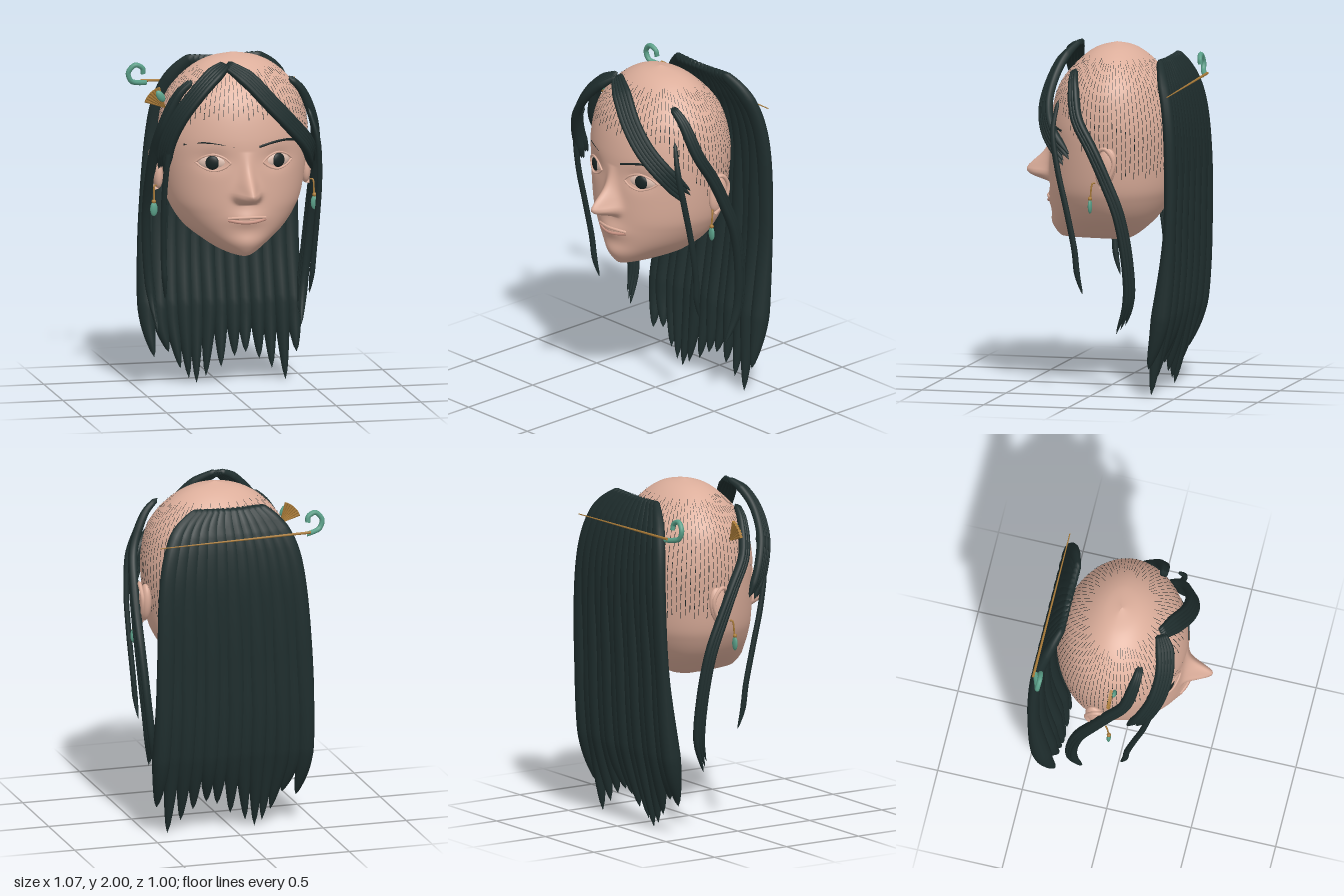
import * as THREE from 'three';
import { ParametricGeometry } from 'three/addons/geometries/ParametricGeometry.js';

const V = (x, y, z) => new THREE.Vector3(x, y, z);
const curve = (pts) => new THREE.CatmullRomCurve3(pts.map((p) => V(...p)), false, 'catmullrom', 0.5);
const CX = 0.01, CZ = -0.04;

function material(name, color, side = THREE.FrontSide) {
  const m = new THREE.MeshStandardMaterial({ color, side });
  m.name = name;
  return m;
}

// Head sections: height, half width, front z, back z
const LEVELS = [
  [0.855, 0.002, 0.25, -0.05], [0.865, 0.1, 0.3, -0.12], [0.92, 0.19, 0.335, -0.2],
  [1.0, 0.288, 0.345, -0.28], [1.1, 0.358, 0.352, -0.34], [1.2, 0.396, 0.355, -0.375],
  [1.4, 0.427, 0.35, -0.4], [1.55, 0.435, 0.345, -0.4], [1.7, 0.412, 0.315, -0.365],
  [1.8, 0.363, 0.265, -0.32], [1.9, 0.267, 0.175, -0.23], [1.965, 0.152, 0.085, -0.14], [1.998, 0.0005, -0.03, -0.031],
];
const frontCurve = curve(LEVELS.map(([y, w, f]) => [w, y, f]));
const backCurve = curve(LEVELS.map(([y, w, , b]) => [w, y, b]));
const bump = (x, s) => Math.exp(-(x * x) / (s * s));

// Nose, lips, chin and eye sockets pushed out of the face
function relief(x, y) {
  const d = y - 1.24;
  const k = d > 0 ? 0.58 * bump(d, 0.085) + 0.42 * Math.max(0, 1 - d / 0.24) : Math.max(0, 1 - (d / 0.07) ** 2);
  const nose = 0.153 * k * bump(x, 0.034 + 0.018 * k);
  const wings = 0.03 * bump(Math.abs(x) - 0.05, 0.03) * bump(y - 1.22, 0.03);
  const lips = 0.022 * bump(x, 0.1) * bump(y - 1.085, 0.05);
  const chin = 0.012 * bump(x, 0.1) * bump(y - 0.95, 0.05);
  const socket = -0.018 * bump(Math.abs(x) - 0.19, 0.09) * bump(y - 1.43, 0.06);
  return nose + wings + lips + chin + socket;
}

function headPoint(u, t, target = V(0, 0, 0)) {
  const f = frontCurve.getPoint(u), b = backCurve.getPoint(u);
  const mid = THREE.MathUtils.clamp(CZ, b.z, f.z), c = Math.cos(t), x = f.x * Math.sin(t);
  const z = mid + c * (c > 0 ? f.z - mid : mid - b.z) + (c > 0 ? relief(x, f.y) : 0);
  return target.set(CX + x, f.y, z);
}

function levelAt(y) {
  let lo = 0, hi = 1;
  for (let i = 0; i < 30; i++) {
    const m = (lo + hi) / 2;
    if (frontCurve.getPoint(m).y < y) lo = m; else hi = m;
  }
  return lo;
}

function facePoint(x, y, lift = 0) {
  const u = levelAt(y);
  const p = headPoint(u, Math.asin(THREE.MathUtils.clamp((x - CX) / frontCurve.getPoint(u).x, -1, 1)));
  p.z += lift;
  return p;
}

// One flattened strand; side shifts it across the lock, taper is the pointed share, flare thickens the lower part
function strandGeometry(path, hw, th, { normal = null, side = 0, length = 1, rows = 40, taper = 0.18, flare = 0 } = {}) {
  const T = V(0, 0, 0), N = V(0, 0, 0), B = V(0, 0, 0), p = V(0, 0, 0);
  return new ParametricGeometry((u, v, target) => {
    const s = v * length;
    path.getPoint(s, p);
    path.getTangent(s, T);
    if (normal) N.copy(normal);
    else N.set(p.x - CX, p.y - Math.min(p.y, 1.45), p.z - CZ);
    N.addScaledVector(T, -N.dot(T)).normalize();
    B.crossVectors(N, T);
    const grow = Math.min(1, 0.6 + v * 2.2);
    const f = grow * Math.min(1, v * 40) * Math.pow(Math.max(0, Math.min(1, (1 - v) / taper)), 0.6);
    const depth = th * f * (1 + flare * THREE.MathUtils.smoothstep(v, 0.6, 0.85));
    const a = u * Math.PI * 2;
    target.copy(p).addScaledVector(B, side * grow + Math.cos(a) * hw * f).addScaledVector(N, Math.sin(a) * depth);
  }, 12, rows);
}

export function createModel() {
  const group = new THREE.Group();
  const skin = material('skin', 0xdcae9b), hair = material('hair', 0x1f2e2e);
  const streak = material('scalp hair', 0x1b2626, THREE.DoubleSide);
  const white = material('eye white', 0xdfbfb0), iris = material('iris', 0x182424);
  const lip = material('lips', 0xcd9787), gold = material('gold', 0xa87a38), jade = material('jade', 0x5a9f88);

  const add = (name, geo, mat, pos, parent = group) => {
    const m = new THREE.Mesh(geo, mat);
    m.name = name;
    if (pos) m.position.set(...pos);
    parent.add(m);
    return m;
  };
  const tube = (name, pts, r, mat, seg = 24) => add(name, new THREE.TubeGeometry(curve(pts), seg, r, 8), mat);
  const ball = (name, mat, pos, scale) => {
    const m = add(name, new THREE.SphereGeometry(1, 24, 16), mat, pos);
    m.scale.set(...scale);
    return m;
  };

  // Head, with columns packed toward the face
  add('head', new ParametricGeometry((u, v, target) => {
    const s = (u * 2 - 1) * Math.PI;
    headPoint(v, s - 0.6 * Math.sin(s), target);
  }, 120, 130), skin);

  // Fine dashes of hair rooted around the scalp
  const dashes = [], meridians = 90;
  for (let i = 0; i < meridians; i++) {
    const t = ((i + 0.5) / meridians * 2 - 1) * Math.PI;
    const low = THREE.MathUtils.lerp(1.66, 1.25, THREE.MathUtils.smoothstep(Math.abs(t), 0.6, 1.8));
    for (let y = low + (i % 3) * 0.02; y < 1.89; y += 0.055) {
      const u0 = levelAt(y), u1 = levelAt(y + 0.04);
      const q = [[u0, -1], [u0, 1], [u1, 1], [u0, -1], [u1, 1], [u1, -1]];
      for (const [u, s] of q) {
        const p = headPoint(u, t + s * 0.0045);
        p.sub(V(CX, 1.45, CZ)).multiplyScalar(1.006).add(V(CX, 1.45, CZ));
        dashes.push(p.x, p.y, p.z);
      }
    }
  }
  const dashGeo = new THREE.BufferGeometry();
  dashGeo.setAttribute('position', new THREE.Float32BufferAttribute(dashes, 3));
  dashGeo.computeVertexNormals();
  add('scalpHair', dashGeo, streak);

  for (const s of [-1, 1]) {
    const mx = (x) => CX + s * x;
    const side = s > 0 ? 'left' : 'right';

    // Eye: ball with an iris turned the same way, and two lids
    const c = facePoint(mx(0.19), 1.415);
    const eye = new THREE.Group();
    eye.name = side + 'Eye';
    eye.position.set(c.x, c.y, c.z - 0.008);
    eye.rotation.y = s * 0.38;
    group.add(eye);
    add('eyeball', new THREE.SphereGeometry(1, 24, 16), white, null, eye).scale.set(0.085, 0.043, 0.022);
    add('iris', new THREE.SphereGeometry(1, 24, 16), iris, [0, 0, 0.014], eye).scale.set(0.041, 0.041, 0.016);
    for (const [part, h] of [['UpperLid', 0.05], ['LowerLid', -0.046]]) {
      tube(side + part, [-1, -0.6, 0, 0.6, 1].map((k) => {
        const p = facePoint(c.x + k * 0.095, c.y + h * (1 - k * k), 0.005 + 0.007 * (1 - k * k));
        return [p.x, p.y, p.z];
      }), 0.006, skin);
    }

    // Eyebrow, the right one mostly sunk into the brow
    tube(side + 'Eyebrow', [[0.07, 1.505], [0.16, 1.525], [0.25, 1.53], [0.34, 1.51]].map(([x, y]) => {
      const p = facePoint(mx(x), y, s > 0 ? 0.002 : -0.0065);
      return [p.x, p.y, p.z];
    }), 0.007, streak);

    // Ear with rim
    const ear = ball(side + 'Ear', skin, [mx(0.435), 1.32, -0.08], [0.035, 0.115, 0.06]);
    ear.rotation.x = -0.2;
    tube(side + 'EarRim', [[mx(0.43), 1.36, -0.02], [mx(0.455), 1.42, -0.045], [mx(0.468), 1.43, -0.09],
      [mx(0.465), 1.36, -0.133], [mx(0.46), 1.27, -0.11], [mx(0.445), 1.2, -0.05]], 0.012, skin);

    // Earring
    tube(side + 'EarringHook', [[mx(0.455), 1.235, -0.02], [mx(0.47), 1.225, -0.006],
      [mx(0.472), 1.14, 0.003]], 0.005, gold);
    ball(side + 'EarringCap', gold, [mx(0.474), 1.145, 0.004], [0.013, 0.012, 0.012]);
    ball(side + 'EarringDrop', jade, [mx(0.474), 1.1, 0.004], [0.022, 0.042, 0.012]);
  }

  // Lips
  for (const [name, y0, bow, r] of [['upperLip', 1.09, 0.008, 0.009], ['lowerLip', 1.081, -0.012, 0.01]]) {
    tube(name, [-1, -0.5, 0, 0.5, 1].map((k) => {
      const p = facePoint(CX + k * 0.11, y0 + bow * (1 - k * k), -0.001);
      return [p.x, p.y, p.z];
    }), r, name === 'upperLip' ? skin : lip);
  }

  // Locks: a bundle of strands with uneven ends
  const lock = (name, pts, width, th, n, taper) => {
    const g = new THREE.Group(), path = curve(pts);
    g.name = name;
    for (let i = 0; i < n; i++) {
      const k = n > 1 ? (i / (n - 1)) * 2 - 1 : 0, hw = n > 1 ? width / n * 1.6 : width;
      const options = { side: k * (width - hw), length: 1 - 0.02 * (i % 3), taper };
      add('strand', strandGeometry(path, hw, th, options), hair, null, g);
    }
    group.add(g);
  };
  lock('rightFringe', [[-0.085, 1.975, 0.22], [-0.17, 1.92, 0.265], [-0.27, 1.82, 0.285], [-0.37, 1.68, 0.265],
    [-0.43, 1.52, 0.21], [-0.445, 1.34, 0.14]], 0.057, 0.024, 5, 0.1);
  lock('leftFringe', [[-0.09, 1.975, 0.22], [0.03, 1.89, 0.285], [0.15, 1.76, 0.325], [0.27, 1.63, 0.325],
    [0.38, 1.5, 0.27], [0.445, 1.35, 0.15]], 0.057, 0.024, 5, 0.1);
  const temple = [[0.4, 1.7, 0.215], [0.45, 1.52, 0.235], [0.47, 1.3, 0.2], [0.47, 1.08, 0.15],
    [0.46, 0.85, 0.105], [0.45, 0.7, 0.09], [0.44, 0.58, 0.06]];
  const sideLock = [[0.3, 1.87, 0.145], [0.385, 1.78, 0.13], [0.46, 1.6, 0.09], [0.49, 1.43, -0.005], [0.5, 1.25, -0.09],
    [0.5, 1.05, -0.17], [0.485, 0.8, -0.215], [0.46, 0.55, -0.22], [0.435, 0.35, -0.155]];
  for (const s of [-1, 1]) {
    const flip = (pts) => pts.map(([x, y, z]) => [s > 0 ? x : 0.03 - x, y, z]);
    const side = s > 0 ? 'left' : 'right';
    lock(side + 'TempleLock', flip(temple), 0.018, 0.016, 1, 0.18);
    lock(side + 'SideLock', flip(sideLock), 0.036, 0.025, 3, 0.12);
  }

  // Long back hair: overlapping strands with staggered tips (x, y)
  const tips = [[-0.385, 0.165], [-0.3, 0.19], [-0.23, 0.09], [-0.18, 0.03], [-0.135, 0], [-0.08, 0.04], [0.01, 0.09],
    [0.09, 0.15], [0.155, 0.17], [0.235, 0.13], [0.31, 0.07], [0.39, 0], [0.455, 0.16]];
  // Right edge, left edge, height and depth of the sheet
  const sheet = [[-0.145, 0.19, 1.925, -0.335], [-0.245, 0.32, 1.82, -0.385], [-0.32, 0.39, 1.67, -0.43],
    [-0.36, 0.425, 1.45, -0.455], [-0.39, 0.435, 1.1, -0.455], [-0.41, 0.44, 0.75, -0.435], [-0.415, 0.45, 0.4, -0.39]];
  const back = new THREE.Group();
  back.name = 'backHair';
  group.add(back);
  tips.forEach(([tx, ty], i) => {
    const k = i / (tips.length - 1);
    const path = curve([...sheet.map(([a, b, y, z], j) =>
      [THREE.MathUtils.lerp(a, b, k), y, z + (j > 3 ? (i % 2 ? 0.008 : -0.006) : 0)]), [tx, ty, -0.335]]);
    const options = { normal: V(0, 0, -1), rows: 50, taper: 0.17, flare: 0.7 };
    add('backStrand', strandGeometry(path, 0.054, 0.034, options), hair, null, back);
  });

  // Tapering hairpin with a jade hook
  const pin = add('hairpin', new THREE.CylinderGeometry(0.008, 0.003, 0.91, 8), gold, [0.015, 1.757, -0.45]);
  pin.rotation.z = Math.PI / 2 - 0.02;
  tube('hairpinHook', [[-0.41, 1.755, -0.445], [-0.46, 1.76, -0.425], [-0.505, 1.775, -0.41], [-0.522, 1.825, -0.405],
    [-0.485, 1.868, -0.4], [-0.44, 1.85, -0.405], [-0.435, 1.815, -0.41]], 0.015, jade, 40);

  // Gold fan comb with a jade leaf
  for (let i = 0; i < 7; i++) {
    const geo = new THREE.ConeGeometry(0.011, 0.13, 6).rotateX(Math.PI).translate(0, 0.065, 0);
    add('combTooth', geo, gold, [-0.395, 1.69, 0.012]).rotation.z = 0.35 + i * 0.14;
  }
  ball('combLeaf', jade, [-0.43, 1.765, 0.028], [0.022, 0.038, 0.013]).rotation.z = 0.6;

  return group;
}
